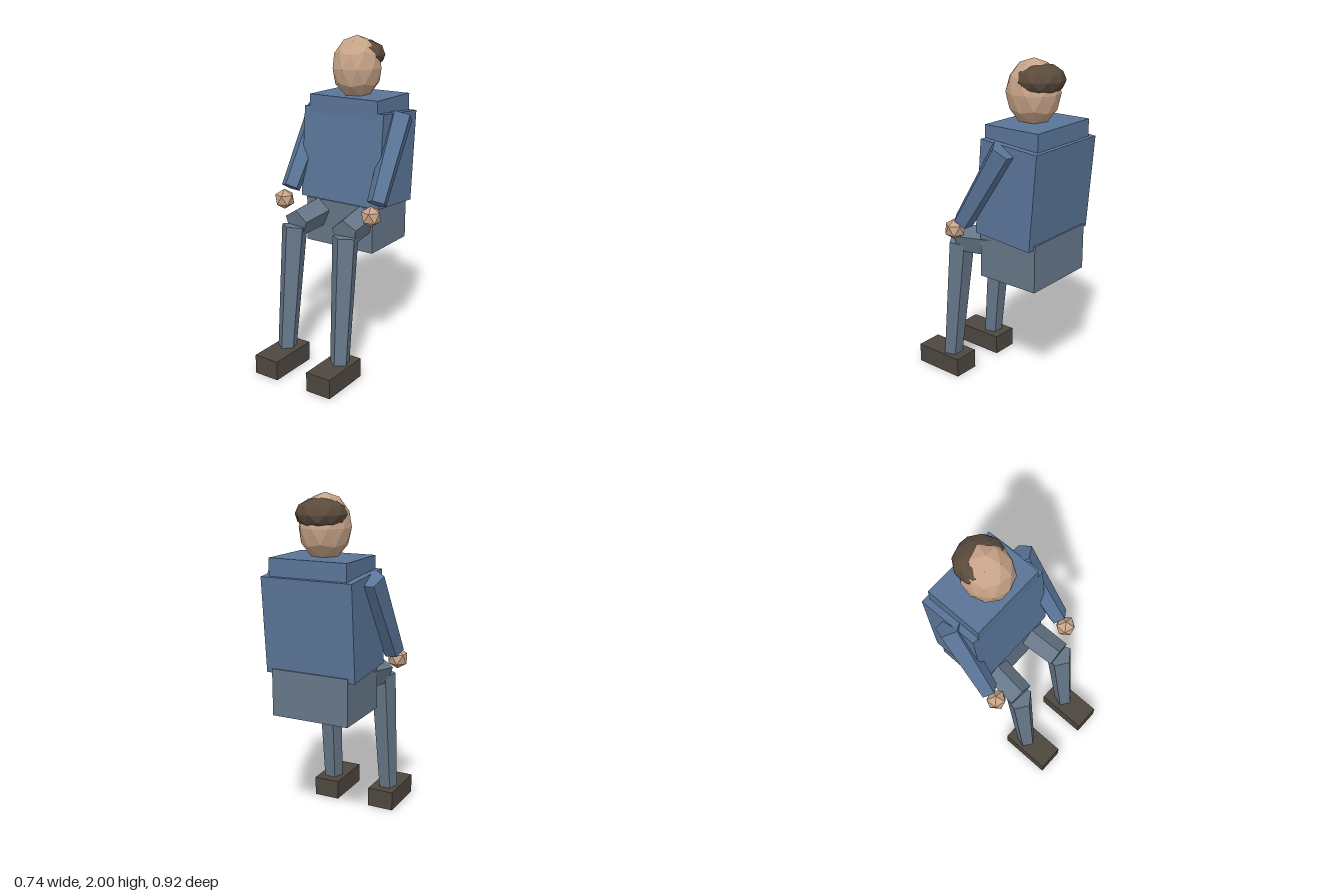
import * as THREE from 'three';

const mat = (color) => new THREE.MeshStandardMaterial({ color, flatShading: true });

export function createModel() {
  const model = new THREE.Group();
  model.name = 'seatedFigure';

  const jacket = mat(0x5a7599);
  const trousers = mat(0x667788);
  const skin = mat(0xc8a488);
  const hairMat = mat(0x5a4a3c);
  const leather = mat(0x4e4740);

  function add(name, geometry, material, x, y, z) {
    const mesh = new THREE.Mesh(geometry, material);
    mesh.name = name;
    mesh.position.set(x, y, z);
    model.add(mesh);
    return mesh;
  }

  const box = (name, material, size, pos) =>
    add(name, new THREE.BoxGeometry(...size), material, ...pos);

  // Faceted ball with a vertex at its pole, stretched to the given radii
  function ball(name, material, detail, radii, pos) {
    const geometry = new THREE.IcosahedronGeometry(1, detail);
    geometry.rotateZ(-Math.atan(2 / (1 + Math.sqrt(5))));
    geometry.scale(...radii);
    return add(name, geometry, material, ...pos);
  }

  // Five-sided tapered limb running between two points
  function limb(name, material, top, rTop, bottom, rBottom) {
    const a = new THREE.Vector3(...top);
    const b = new THREE.Vector3(...bottom);
    const axis = a.clone().sub(b);
    const mid = a.clone().add(b).multiplyScalar(0.5);
    const geometry = new THREE.CylinderGeometry(rTop, rBottom, axis.length(), 5);
    const mesh = add(name, geometry, material, mid.x, mid.y, mid.z);
    mesh.quaternion.setFromUnitVectors(new THREE.Vector3(0, 1, 0), axis.normalize());
    return mesh;
  }

  // Trunk: leaning torso, shoulder block and hips
  box('torso', jacket, [0.56, 0.56, 0.385], [0, 1.282, -0.248]).rotation.x = -0.078;
  box('shoulders', jacket, [0.48, 0.15, 0.364], [0, 1.575, -0.257]);
  box('pelvis', trousers, [0.48, 0.28, 0.393], [0, 0.874, -0.233]);

  // Head with hair on the upper back
  ball('head', skin, 1, [0.148, 0.19, 0.16], [0, 1.81, -0.225]);
  ball('hair', hairMat, 1, [0.148, 0.092, 0.14], [0, 1.885, -0.272]);

  // Arms and legs, mirrored
  for (const [side, s] of [['left', 1], ['right', -1]]) {
    limb(side + 'Arm', jacket, [s * 0.29, 1.545, -0.254], 0.08, [s * 0.313, 1.077, 0.033], 0.061);
    ball(side + 'Hand', skin, 0, [0.064, 0.064, 0.064], [s * 0.313, 1.018, 0.097]);
    limb(side + 'Thigh', trousers, [s * 0.145, 0.955, -0.25], 0.095, [s * 0.175, 0.905, 0.165], 0.085);
    limb(side + 'Shin', trousers, [s * 0.185, 0.89, 0.166], 0.08, [s * 0.198, 0.11, 0.242], 0.06);
    box(side + 'Shoe', leather, [0.166, 0.12, 0.326], [s * 0.192, 0.06, 0.297]);
  }

  return model;
}
